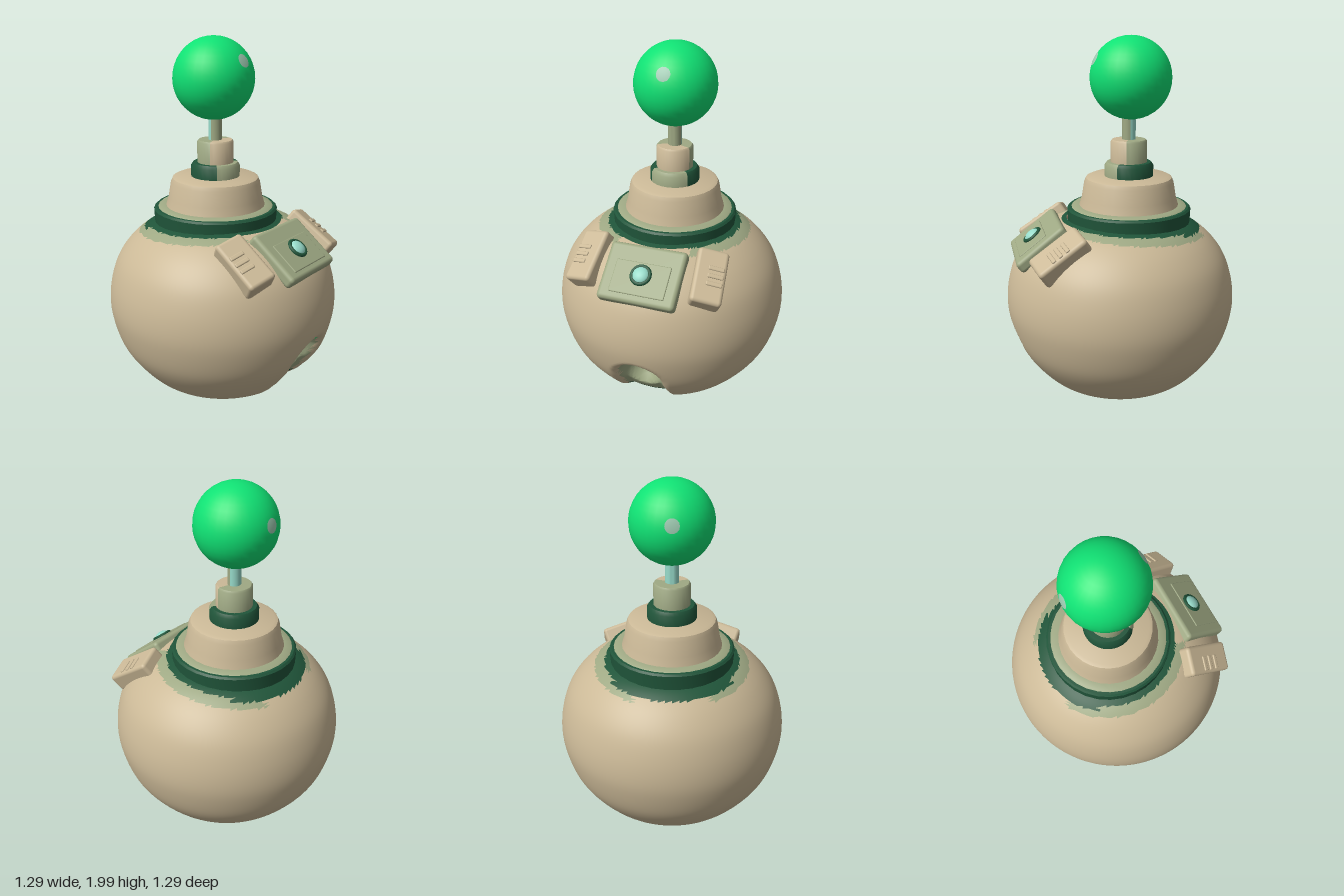
import * as THREE from 'three';
import { mergeVertices, toCreasedNormals } from 'three/addons/utils/BufferGeometryUtils.js';
import { RoundedBoxGeometry } from 'three/addons/geometries/RoundedBoxGeometry.js';

const mat = (name, color) => {
  const m = new THREE.MeshStandardMaterial({ color });
  m.name = name;
  return m;
};
const beige = mat('beige', 0xcbb997);
const sage = mat('sage green', 0x9fa984);
const dark = mat('dark green', 0x20553a);
const bright = mat('bright green', 0x10e274);
const teal = mat('pale teal', 0x98dccb);
const pale = mat('pale highlight', 0x9fcbb2);

const AXIS_Z = -0.05; // the neck stack sits slightly behind the centre

function add(parent, name, geometry, material, x = 0, y = 0, z = 0) {
  const mesh = new THREE.Mesh(geometry, material);
  mesh.name = name;
  mesh.position.set(x, y, z);
  parent.add(mesh);
  return mesh;
}

// Turned part around the neck axis; an arc may be given (0 = front)
function turned(parent, name, profile, material, start = 0, length = Math.PI * 2) {
  const pts = profile.map(([r, y]) => new THREE.Vector2(r, y));
  const geo = new THREE.LatheGeometry(pts, Math.max(6, Math.round(length * 5)), start, length);
  return add(parent, name, toCreasedNormals(geo, 0.7), material, 0, 0, AXIS_Z);
}

// Round hull with a soft slot from the front to the underside
function hullGeometry() {
  const profile = new THREE.CatmullRomCurve3([
    [0, 0.003], [0.2, 0.018], [0.32, 0.05], [0.42, 0.105], [0.52, 0.21], [0.59, 0.32],
    [0.633, 0.46], [0.643, 0.56], [0.628, 0.68], [0.585, 0.8], [0.515, 0.895],
    [0.43, 0.965], [0.37, 0.995], [0.3, 1.015],
  ].map(([r, y]) => new THREE.Vector3(r, y, 0)));
  let geo = new THREE.PlaneGeometry(1, 1, 120, 110);
  const p = geo.attributes.position;
  // distance across the slot, measured along the hull
  const slotDistance = (x, y, z) => {
    const phi = Math.atan2(z, 0.55 - y);
    return Math.hypot(x, Math.max(0, phi - 1.18, -0.2 - phi) * 0.62);
  };
  for (let i = 0; i < p.count; i++) {
    const t = p.getX(i) * 2;
    const a = Math.sign(t) * Math.PI * Math.abs(t) ** 1.6; // finer mesh at the front
    const c = profile.getPointAt(p.getY(i) + 0.5);
    const x = c.x * Math.sin(a), y = c.y, z = c.x * Math.cos(a);
    const d = 1 - THREE.MathUtils.smoothstep(slotDistance(x, y, z), 0.095, 0.16);
    const front = THREE.MathUtils.smoothstep(y, 0.0, 0.25);
    const hole = z > 0 ? 1 - THREE.MathUtils.smoothstep(Math.hypot(x, y - 0.3), 0.1, 0.125) : 0;
    const k = 1 - d * (0.035 + 0.05 * front) - 0.12 * hole;
    p.setXYZ(i, x * k, 0.55 + (y - 0.55) * k, z * k);
  }
  geo.deleteAttribute('uv');
  geo.deleteAttribute('normal');
  geo = mergeVertices(geo, 1e-5);
  geo.computeVertexNormals();

  // sort faces by colour: beige, sage, dark, bright
  const q = geo.attributes.position, idx = geo.index.array;
  const sets = [[], [], [], []];
  for (let i = 0; i < idx.length; i += 3) {
    const f = [idx[i], idx[i + 1], idx[i + 2]];
    const x = (q.getX(f[0]) + q.getX(f[1]) + q.getX(f[2])) / 3;
    const y = (q.getY(f[0]) + q.getY(f[1]) + q.getY(f[2])) / 3;
    const z = (q.getZ(f[0]) + q.getZ(f[1]) + q.getZ(f[2])) / 3;
    let c = 0;
    if (y > 0.85) {
      const r = Math.hypot(x, z - AXIS_Z);
      if (r < (z < -0.28 ? 0.4 : 0.375)) c = 2;
      else if (r < 0.43 && Math.abs(x) > 0.2) c = 1;
    } else if (y < 0.45 && slotDistance(x, y, z) < 0.122) {
      c = y < 0.14 ? 2 : 1;
      if (z > 0 && y > 0.395) c = 3;
    }
    sets[c].push(...f);
  }
  geo.setIndex(sets.flat());
  let start = 0;
  sets.forEach((s, i) => {
    geo.addGroup(start, s.length, i);
    start += s.length;
  });
  return geo;
}

// Tilted control panel with a round gem
function controlPanel() {
  const g = new THREE.Group();
  g.name = 'controlPanel';
  add(g, 'panelBase', new RoundedBoxGeometry(0.42, 0.07, 0.32, 3, 0.022), sage);
  add(g, 'panelInset', new RoundedBoxGeometry(0.3, 0.012, 0.18, 2, 0.005), sage, 0, 0.034, 0.03);
  const ring = add(g, 'gemRing', new THREE.TorusGeometry(0.048, 0.011, 8, 20), dark, 0, 0.042, 0.01);
  ring.rotation.x = Math.PI / 2;
  add(g, 'gem', new THREE.SphereGeometry(0.046, 16, 10), teal, 0, 0.04, 0.01).scale.y = 0.6;
  g.position.set(0, 0.908, 0.463);
  g.rotation.x = 0.66;
  return g;
}

// Side pod with three raised slats; side is +1 or -1
function sidePod(side) {
  const g = new THREE.Group();
  g.name = side > 0 ? 'leftPod' : 'rightPod';
  add(g, 'podBlock', new RoundedBoxGeometry(0.165, 0.11, 0.3, 3, 0.02), beige);
  for (let i = -1; i <= 1; i++) {
    add(g, 'podSlat', new RoundedBoxGeometry(0.085, 0.016, 0.024, 2, 0.006), beige,
      side * 0.025, 0.054, i * 0.043);
  }
  g.position.set(side * 0.325, 0.907, 0.382);
  g.rotation.set(0.6, side * 0.08, side * -0.36);
  return g;
}

export function createModel() {
  const model = new THREE.Group();
  model.name = 'roundDevice';

  add(model, 'hull', hullGeometry(), [beige, sage, dark, bright]);

  // Collar and shoulder
  turned(model, 'collar', [[0.34, 0.95], [0.345, 1.065], [0.335, 1.075], [0.26, 1.078]], dark);
  turned(model, 'collarTrim', [[0.325, 1.072], [0.315, 1.081], [0.27, 1.084]], sage);
  turned(model, 'shoulder', [[0.282, 1.06], [0.276, 1.085], [0.262, 1.13], [0.248, 1.215],
    [0.238, 1.237], [0.22, 1.245], [0, 1.248]], beige);

  // Neck: ring, sleeve and rod, each with a differently coloured front
  const neckRing = [[0.135, 1.24], [0.135, 1.305], [0.122, 1.323], [0, 1.325]];
  turned(model, 'neckRingFront', neckRing, sage, -0.85, 1.7);
  turned(model, 'neckRingBack', neckRing, dark, 0.85, Math.PI * 2 - 1.7);
  const sleeve = [[0.1, 1.31], [0.1, 1.437], [0.092, 1.447], [0, 1.448]];
  turned(model, 'neckSleeveFront', sleeve, beige, -1.2, 2.4);
  turned(model, 'neckSleeveBack', sleeve, sage, 1.2, Math.PI * 2 - 2.4);
  const rod = [[0.037, 1.43], [0.037, 1.6]];
  turned(model, 'rodFront', rod, sage, -Math.PI / 2, Math.PI);
  turned(model, 'rodBack', rod, teal, Math.PI / 2, Math.PI);

  // Ball with two small pale spots
  const ball = new THREE.Group();
  ball.name = 'ball';
  ball.position.set(0, 1.778, -0.06);
  model.add(ball);
  add(ball, 'ballSphere', new THREE.SphereGeometry(0.222, 32, 20), bright);
  for (const [y, z] of [[0.1, 0.195], [0.045, -0.215]]) {
    const spot = add(ball, 'ballSpot', new THREE.SphereGeometry(0.2235, 14, 3, 0, Math.PI * 2, 0, 0.17), pale);
    spot.quaternion.setFromUnitVectors(new THREE.Vector3(0, 1, 0), new THREE.Vector3(0, y, z).normalize());
  }

  model.add(controlPanel(), sidePod(1), sidePod(-1));
  return model;
}
